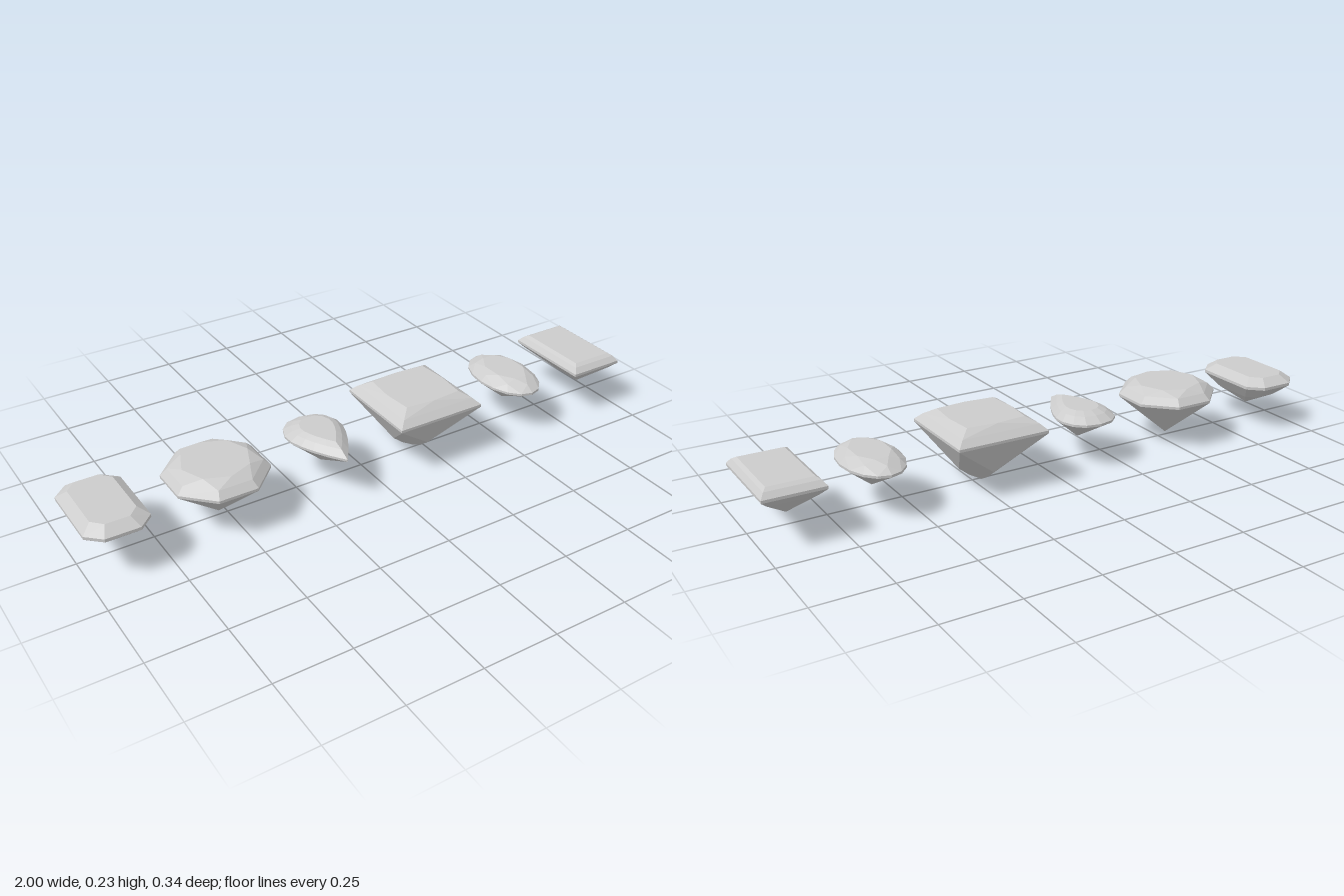
import * as THREE from 'three';
import { ConvexGeometry } from 'three/addons/geometries/ConvexGeometry.js';

const material = new THREE.MeshStandardMaterial({ color: 0xcccccc, flatShading: true });

// Outlines are lists of [x, z] at unit half-size
const polygon = (n, turn = 0) => Array.from({ length: n }, (_, i) => {
  const a = (i + turn) / n * Math.PI * 2;
  return [Math.cos(a), Math.sin(a)];
});
const square = [[1, 1], [-1, 1], [-1, -1], [1, -1]];
const cross = [[1, 0], [0, 1], [-1, 0], [0, -1]];
const cutCorner = (cx, cz) => square.flatMap(([x, z]) => [[x, z * (1 - cz)], [x * (1 - cx), z]]);

// One level of facet corners: outline scaled to half-sizes at height y
const ring = (outline, y, hx, hz = hx) =>
  outline.map(([x, z]) => new THREE.Vector3(x * hx, y, z * hz));

// A cut stone is the convex solid spanned by its facet corners
function gem(name, x, z, ...levels) {
  const mesh = new THREE.Mesh(new ConvexGeometry(levels.flat()), material);
  mesh.name = name;
  mesh.position.set(x, 0, z);
  return mesh;
}
const tip = (y) => [new THREE.Vector3(0, y, 0)];

export function createModel() {
  const group = new THREE.Group();
  group.name = 'gemstones';

  // Step cut with clipped corners
  const step = cutCorner(0.46, 0.28);
  group.add(gem('emeraldCut', -0.895, -0.008,
    ring(step, 0.195, 0.072, 0.125),
    ring(step, 0.17, 0.104, 0.16),
    ring(step, 0.16, 0.104, 0.16),
    ring(step, 0.112, 0.066, 0.098),
    tip(0.06)));

  // Eight-sided brilliant, table turned against the girdle
  const oct = polygon(8, 0.5);
  group.add(gem('roundCut', -0.528, -0.003,
    ring(polygon(8), 0.208, 0.112),
    ring(oct, 0.19, 0.148),
    ring(oct, 0.167, 0.171),
    ring(oct, 0.158, 0.171),
    ring(polygon(8), 0.142, 0.14),
    tip(0.015)));

  // Teardrop: round at the back, pointed at the front
  const half = [[0.5, -0.132], [0.82, -0.102], [0.98, -0.06], [0.97, -0.02],
    [0.84, 0.022], [0.64, 0.066], [0.36, 0.115]];
  const drop = [[0, -0.143], [0, 0.167], ...half, ...half.map(([x, z]) => [-x, z])];
  group.add(gem('pearCut', -0.153, -0.004,
    ring(drop, 0.195, 0.055, 0.58),
    ring(drop, 0.184, 0.078, 0.78),
    ring(drop, 0.165, 0.1, 1),
    ring(drop, 0.157, 0.1, 1),
    tip(0.075)));

  // Square cut with bowed crown and rounded pavilion
  group.add(gem('princessCut', 0.22, -0.009,
    ring(square, 0.235, 0.103),
    ring(cross, 0.235, 0.112),
    ring(square, 0.214, 0.137),
    ring(square, 0.193, 0.159),
    ring(square, 0.184, 0.159),
    ring(cross, 0.057, 0.082),
    ring(cross, 0.028, 0.045),
    tip(0.003)));

  // Oval brilliant
  const oval = polygon(16);
  group.add(gem('ovalCut', 0.606, -0.014,
    ring(polygon(8, 0.5), 0.195, 0.06, 0.097),
    ring(polygon(8), 0.184, 0.08, 0.13),
    ring(oval, 0.165, 0.099, 0.159),
    ring(oval, 0.157, 0.099, 0.159),
    tip(0.075)));

  // Long rectangular cut ending in a keel
  group.add(gem('baguetteCut', 0.901, -0.015,
    ring(square, 0.202, 0.074, 0.128),
    ring(square, 0.194, 0.086, 0.143),
    ring(square, 0.177, 0.099, 0.159),
    ring(square, 0.168, 0.099, 0.159),
    ring(square, 0.146, 0.077, 0.137),
    ring([[0, 1], [0, -1]], 0.081, 1, 0.062)));

  return group;
}
